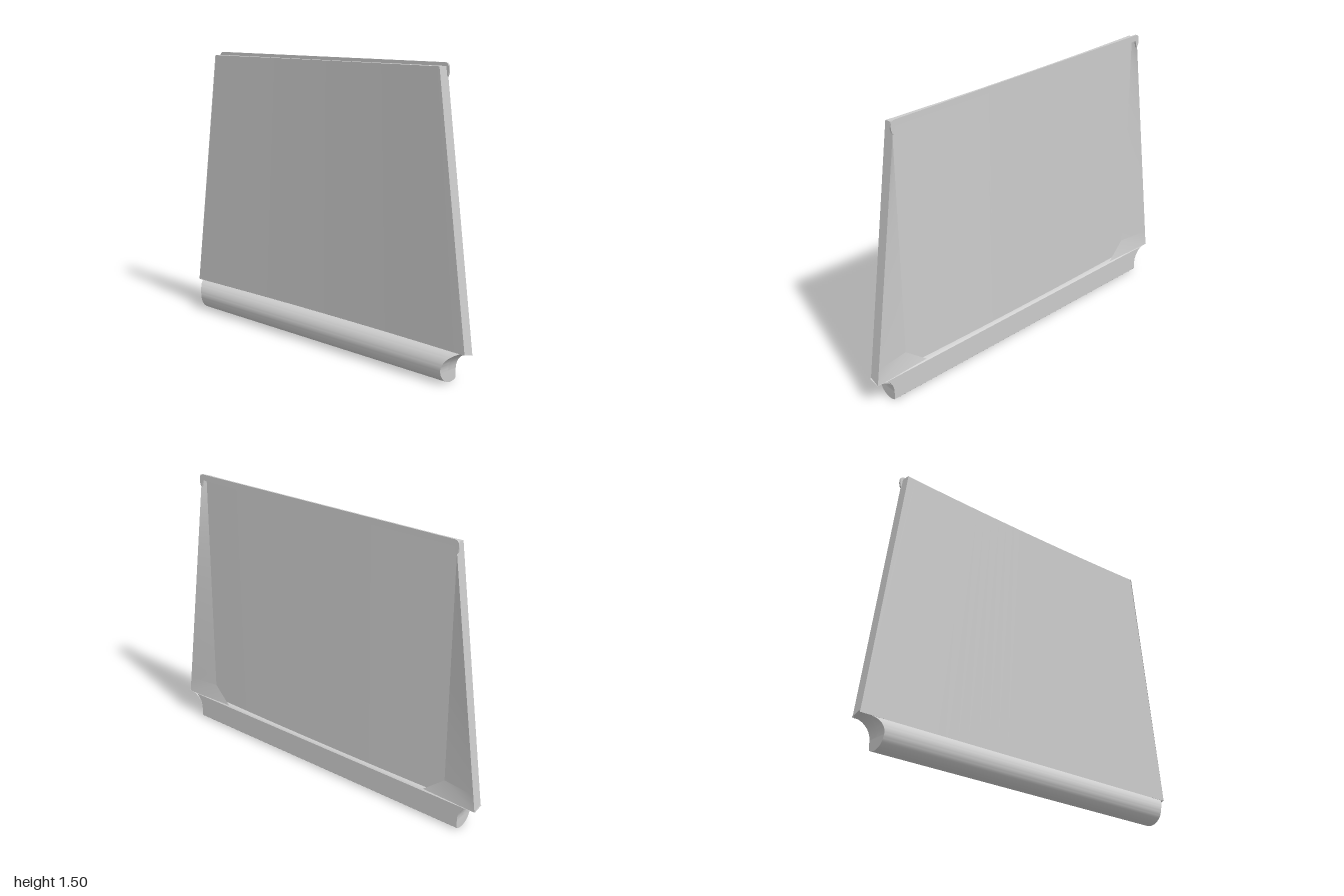
import * as THREE from 'three';
import { toCreasedNormals } from 'three/addons/utils/BufferGeometryUtils.js';

const BACK = -0.057, TOP = 1.48, BOTTOM = 0.155;
const material = new THREE.MeshStandardMaterial({ color: 0xcccccc, side: THREE.DoubleSide });

// Half width of the tapering panel, and its slightly hollow front
const halfWidth = (y) => 0.81 + 0.185 * (TOP - y) / (TOP - BOTTOM);
const frontZ = (x) => -0.018 * Math.max(0, 1 - (x / 0.92) ** 2);
const floorZ = (x) => frontZ(x) * 0.5 - 0.03;

// Grid surface from a rule fn(u, v) => [x, y, z], with u and v in 0..1
function surface(nu, nv, fn, flip = false) {
  const pos = [], index = [];
  for (let j = 0; j <= nv; j++) for (let i = 0; i <= nu; i++) pos.push(...fn(i / nu, j / nv));
  for (let j = 0; j < nv; j++) for (let i = 0; i < nu; i++) {
    const a = j * (nu + 1) + i, b = a + 1, c = a + nu + 1, d = c + 1;
    if (flip) index.push(a, d, b, a, c, d);
    else index.push(a, b, d, a, d, c);
  }
  const geo = new THREE.BufferGeometry();
  geo.setAttribute('position', new THREE.Float32BufferAttribute(pos, 3));
  geo.setIndex(index);
  return toCreasedNormals(geo, 0.5);
}

export function createModel() {
  const model = new THREE.Group();
  const add = (name, geo) => {
    const mesh = new THREE.Mesh(geo, material);
    mesh.name = name;
    model.add(mesh);
  };
  const mix = THREE.MathUtils.lerp;

  // Front sheet, top edge and recessed back
  add('panelFront', surface(32, 1, (u, v) => {
    const y = mix(BOTTOM, TOP, v), x = (2 * u - 1) * halfWidth(y);
    return [x, y, frontZ(x)];
  }));
  add('panelTop', surface(32, 1, (u, v) => {
    const x = (2 * u - 1) * 0.81;
    return [x, TOP, mix(frontZ(x), BACK, v)];
  }));
  add('recessFloor', surface(32, 1, (u, v) => {
    const x = (2 * u - 1) * 0.8;
    return [x, mix(0.145, TOP - 0.01, v), floorZ(x)];
  }, true));
  add('recessTopWall', surface(32, 1, (u, v) => {
    const x = (2 * u - 1) * 0.8;
    return [x, TOP - 0.01, mix(floorZ(x), BACK, v)];
  }));
  add('panelUnderside', surface(32, 1, (u, v) => {
    const x = (2 * u - 1) * 0.99;
    const back = Math.abs(x) > 0.8 ? BACK : floorZ(x);
    return [x, mix(BOTTOM, 0.143, v), mix(frontZ(x), back, v)];
  }, true));

  for (const s of [1, -1]) {
    // Slanted outer side
    add('panelSide', surface(1, 1, (u, v) => {
      const y = mix(mix(BOTTOM + 0.008, 0.143, u), TOP, v);
      return [s * halfWidth(y), y, mix(0, BACK, u)];
    }, s < 0));
    // Back rim leaning in from the outer edge to the recess
    add('sideRim', surface(1, 16, (u, v) => {
      const y = mix(0.235, TOP, v);
      return [s * mix(halfWidth(y), 0.8, u), y, mix(BACK, floorZ(0.8), u)];
    }, s > 0));
    // Pointed gusset at the foot of the rim
    add('rimGusset', surface(1, 1, (u, v) => {
      const y = mix(0.143, 0.235, v);
      return [s * mix(halfWidth(y), mix(0.68, 0.8, v), u), y, mix(BACK, mix(-0.05, floorZ(0.8), v), u)];
    }, s > 0));
  }

  // Thin lip along the top of the back, with rounded drooping ends
  const lip = new THREE.Shape();
  lip.moveTo(-0.8, 1.465);
  lip.lineTo(0.8, 1.465);
  lip.lineTo(0.812, 1.425);
  lip.quadraticCurveTo(0.83, 1.445, 0.824, 1.48);
  lip.quadraticCurveTo(0.82, 1.497, 0.8, 1.497);
  lip.lineTo(-0.8, 1.497);
  lip.quadraticCurveTo(-0.82, 1.497, -0.824, 1.48);
  lip.quadraticCurveTo(-0.83, 1.445, -0.812, 1.425);
  const lipGeo = new THREE.ExtrudeGeometry(lip, { depth: 0.009, bevelEnabled: false });
  lipGeo.translate(0, 0, BACK - 0.001);
  add('topLip', lipGeo);

  // Round bottom bar, flat at the back, with ends flaring out in a hollow curve
  const R = 0.077, CZ = -0.017;
  const height = (t) => R - R * Math.cos(Math.PI * t);
  const chord = (t) => R * Math.sin(Math.PI * t);
  const front = (t) => CZ + chord(t);
  const rear = (t) => Math.max(BACK, CZ - chord(t));
  const end = (t) => {
    const d = Math.min(0.0995, Math.max(0, height(t) - 0.06));
    return 1 - Math.sqrt(0.01 - d * d);
  };
  add('barFront', surface(1, 32, (u, v) => [(2 * u - 1) * end(v), height(v), front(v)]));
  add('barBack', surface(1, 32, (u, v) => [(2 * u - 1) * end(v), height(v), rear(v)], true));
  for (const s of [1, -1]) {
    add('barEnd', surface(1, 32, (u, v) => [s * end(v), height(v), mix(front(v), rear(v), u)], s < 0));
    // Hollow corner joining the bar end to the panel tip
    add('cornerHollow', surface(1, 8, (u, v) => {
      const a = v * Math.PI / 2;
      return [s * (1 - 0.1 * Math.cos(a)), 0.06 + 0.1 * Math.sin(a) - 0.015 * u * v, mix(Math.min(0, front(0.75)), BACK, u)];
    }, s < 0));
  }
  return model;
}
